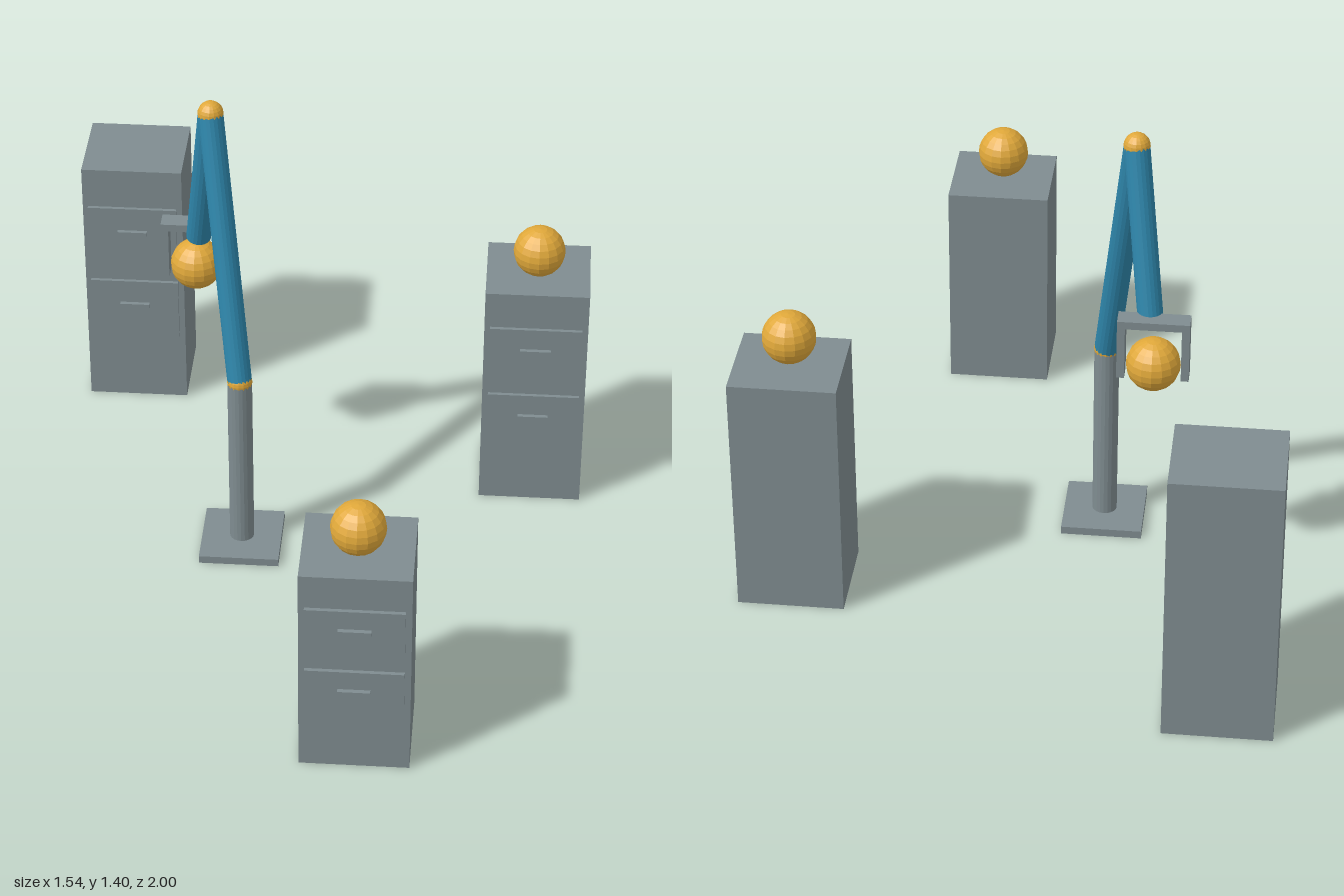
import * as THREE from 'three';

export function createModel() {
  const model = new THREE.Group();
  model.name = 'robotArmWithCabinets';

  const material = (name, color) => {
    const m = new THREE.MeshStandardMaterial({ color, flatShading: true });
    m.name = name;
    return m;
  };
  const steel = material('steelGrey', 0x7f8c90);
  const blue = material('armBlue', 0x2e86ab);
  const gold = material('gold', 0xe0a83a);

  const add = (parent, name, geometry, mat, x, y, z) => {
    const mesh = new THREE.Mesh(geometry, mat);
    mesh.name = name;
    mesh.position.set(x, y, z);
    parent.add(mesh);
    return mesh;
  };
  const box = (parent, name, w, h, d, x, y, z) =>
    add(parent, name, new THREE.BoxGeometry(w, h, d), steel, x, y, z);
  const ball = (parent, name, r, x, y, z) =>
    add(parent, name, new THREE.SphereGeometry(r, 16, 12), gold, x, y, z);
  // Cylinder running between two points
  const limb = (parent, name, a, b, r, mat) => {
    const dir = b.clone().sub(a);
    const mid = a.clone().add(b).multiplyScalar(0.5);
    const mesh = add(parent, name, new THREE.CylinderGeometry(r, r, dir.length(), 20), mat, mid.x, mid.y, mid.z);
    mesh.quaternion.setFromUnitVectors(new THREE.Vector3(0, 1, 0), dir.normalize());
  };

  // Cabinets: body, two drawer fronts with handles, optional ball on top
  const depth = 0.276, ballRadius = 0.076;
  const cabinet = (name, x, z, h, hasBall) => {
    const g = new THREE.Group();
    g.name = name;
    g.position.set(x, 0, z);
    model.add(g);
    box(g, 'cabinetBody', 0.304, h, depth, 0, h / 2, 0);
    for (const level of [0.405, 0.725]) {
      box(g, 'drawerFront', 0.27, h * 0.248, 0.011, 0, h * level, depth / 2 + 0.012);
      box(g, 'drawerHandle', 0.09, 0.0125, 0.013, 0, h * (level + 0.024), depth / 2 + 0.0235);
    }
    if (hasBall) ball(g, 'ball', ballRadius, 0, h + ballRadius, 0.014);
  };
  cabinet('backCabinet', -0.623, -0.862, 0.824, false);
  cabinet('frontCabinet', 0.167, 0.832, 0.651, true);
  cabinet('sideCabinet', 0.618, -0.41, 0.736, true);

  // Robot arm: foot plate, column, joints and two links
  const arm = new THREE.Group();
  arm.name = 'robotArm';
  model.add(arm);
  const foot = new THREE.Vector3(-0.229, 0.02, 0);
  const shoulder = new THREE.Vector3(-0.229, 0.58, 0);
  const elbow = new THREE.Vector3(-0.318, 1.359, -0.191);
  const wrist = new THREE.Vector3(-0.373, 0.875, -0.304);
  box(arm, 'footPlate', 0.235, 0.024, 0.235, -0.229, 0.012, 0);
  limb(arm, 'column', foot, shoulder, 0.036, steel);
  ball(arm, 'shoulderJoint', 0.037, ...shoulder.toArray());
  limb(arm, 'upperArm', shoulder, elbow, 0.036, blue);
  ball(arm, 'elbowJoint', 0.037, ...elbow.toArray());
  limb(arm, 'forearm', elbow, wrist, 0.036, blue);

  // Gripper: crossbar and two fingers around the held ball
  const gripper = new THREE.Group();
  gripper.name = 'gripper';
  gripper.position.set(-0.385, 0, -0.339);
  arm.add(gripper);
  box(gripper, 'crossbar', 0.2, 0.023, 0.055, 0, 0.893, 0);
  for (const side of [-1, 1]) {
    box(gripper, 'finger', 0.022, 0.181, 0.055, side * 0.089, 0.8135, 0);
  }
  ball(gripper, 'heldBall', ballRadius, 0, 0.758, 0);

  return model;
}
